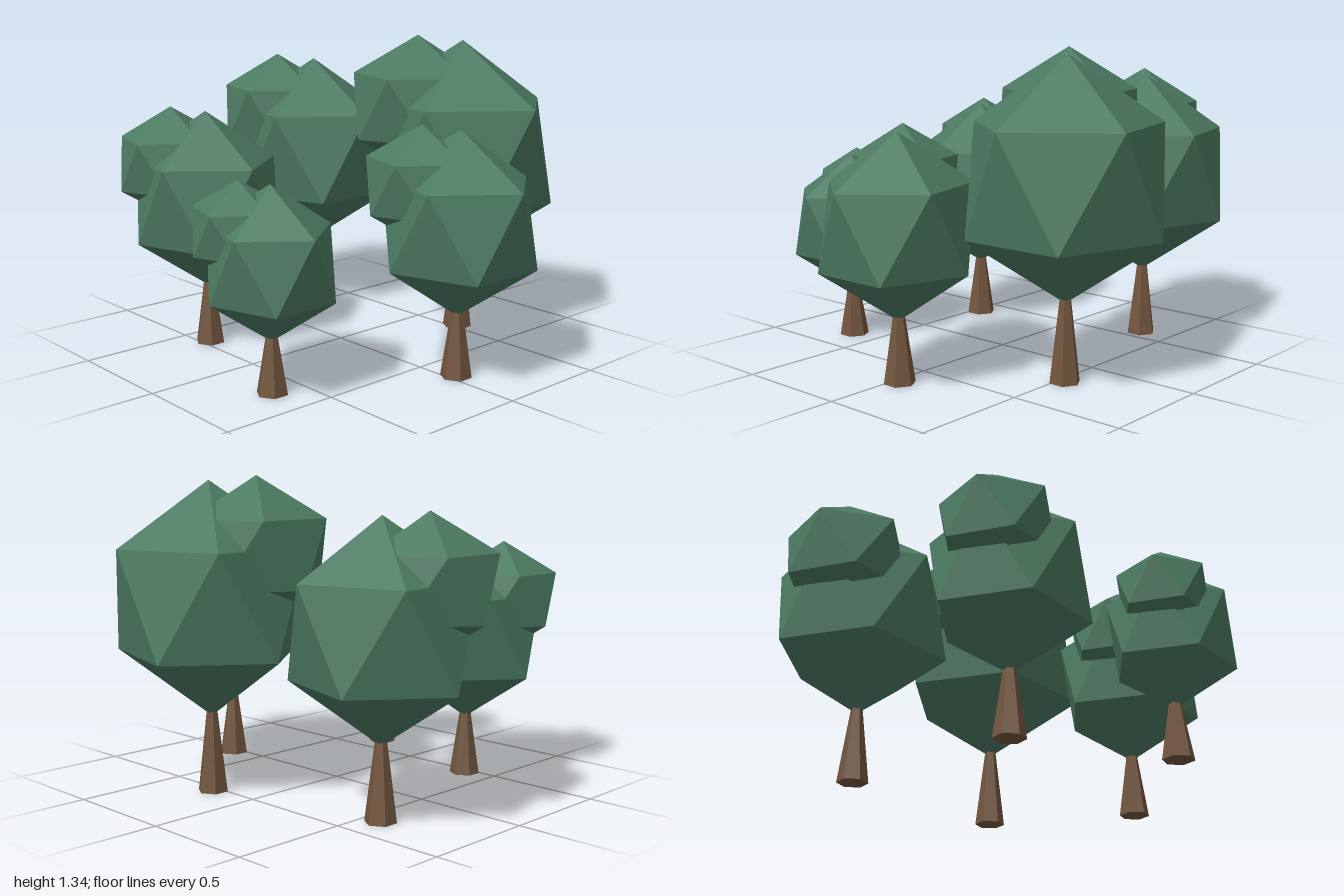
import * as THREE from 'three';

const leafGreen = new THREE.MeshStandardMaterial({ color: 0x4c7a62, flatShading: true });
leafGreen.name = 'leaf green';
const barkBrown = new THREE.MeshStandardMaterial({ color: 0x73563f, flatShading: true });
barkBrown.name = 'bark brown';

// Icosahedron standing on a vertex, with one upper-ring vertex toward +x
function crownGeometry(rx, ry, rz) {
  const g = new THREE.IcosahedronGeometry(1, 0);
  g.rotateZ(-Math.atan(2 / (1 + Math.sqrt(5))));
  g.scale(rx, ry, rz);
  g.computeVertexNormals();
  return g;
}

function addMesh(group, name, geometry, material, x, y, z) {
  const mesh = new THREE.Mesh(geometry, material);
  mesh.name = name;
  mesh.position.set(x, y, z);
  group.add(mesh);
}

// One tree: r is the crown radius, y the crown centre height
function createTree({ x, z, y, r }) {
  const tree = new THREE.Group();
  tree.name = 'tree';
  tree.position.set(x, 0, z);

  // six-sided tapering trunk, its tip sunk a little into the crown
  const height = y - r + 0.04;
  addMesh(tree, 'trunk', new THREE.CylinderGeometry(0.022, 0.066, height, 6), barkBrown, 0, height / 2, 0);

  // main crown, and a smaller one at its front right shoulder
  addMesh(tree, 'crown', crownGeometry(0.945 * r, r, 0.885 * r), leafGreen, 0, y, 0);
  addMesh(tree, 'sideCrown', crownGeometry(0.66 * r, 0.635 * r, 0.655 * r), leafGreen,
    -0.325 * r, y + 0.405 * r, 0.24 * r);
  return tree;
}

export function createModel() {
  const grove = new THREE.Group();
  grove.name = 'grove';
  const trees = [
    { x: 0.222, z: -0.53, y: 0.827, r: 0.498 },
    { x: -0.585, z: -0.346, y: 0.753, r: 0.448 },
    { x: 0.67, z: -0.035, y: 0.642, r: 0.383 },
    { x: -0.361, z: 0.46, y: 0.649, r: 0.389 },
    { x: 0.313, z: 0.643, y: 0.529, r: 0.314 },
  ];
  for (const t of trees) grove.add(createTree(t));
  return grove;
}
